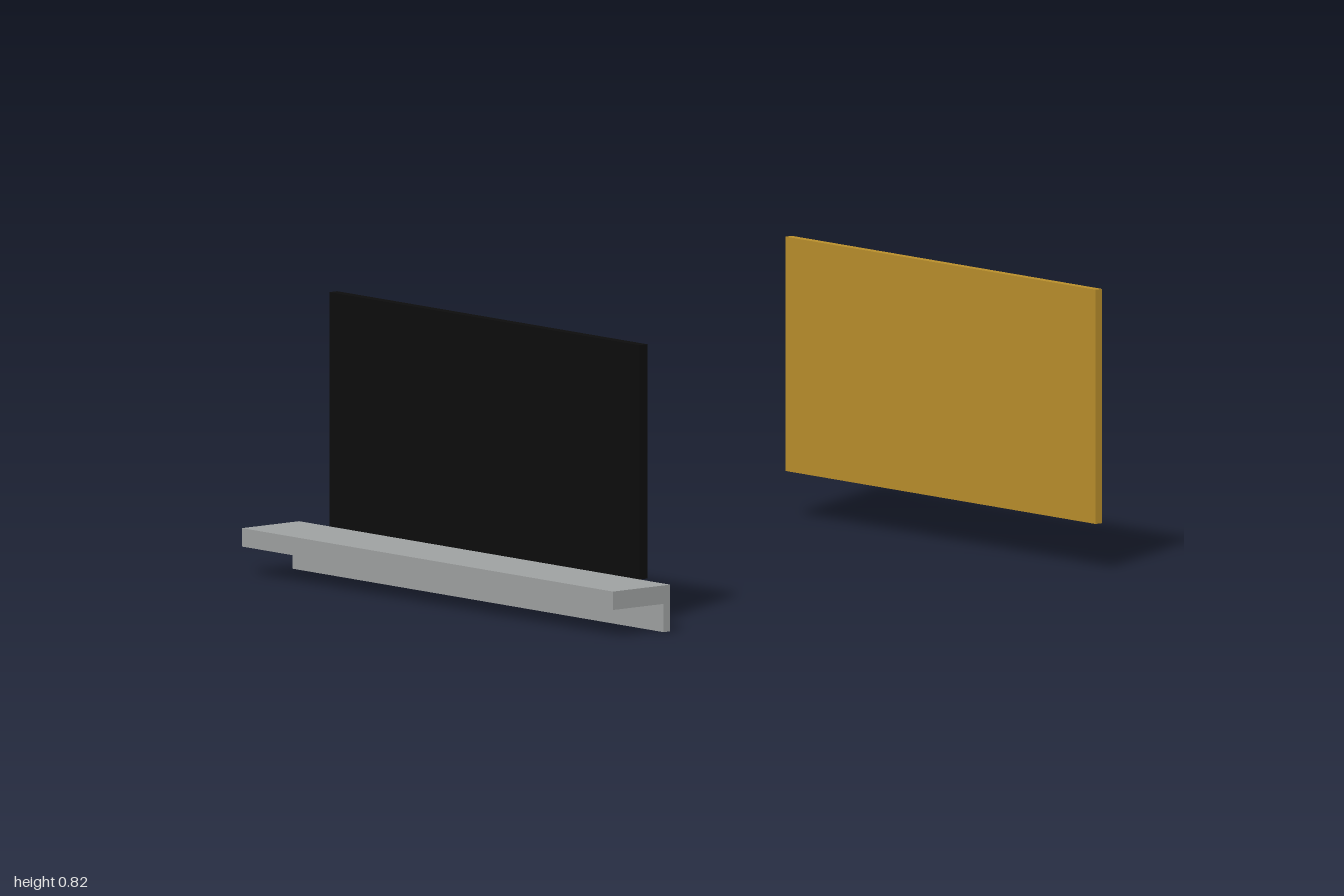
import * as THREE from 'three';

const material = (name, color) => {
  const m = new THREE.MeshStandardMaterial({ color });
  m.name = name;
  return m;
};

export function createModel() {
  const model = new THREE.Group();
  model.name = 'displayAssembly';
  const black = material('black', 0x0d0d0d);
  const gold = material('gold', 0xbb902c);
  const grey = material('grey', 0xa0a3a3);

  // Box given by its extents along x, y and z
  const box = (name, mat, [x0, x1], [y0, y1], [z0, z1]) => {
    const mesh = new THREE.Mesh(new THREE.BoxGeometry(x1 - x0, y1 - y0, z1 - z0), mat);
    mesh.position.set((x0 + x1) / 2, (y0 + y1) / 2, (z0 + z1) / 2);
    mesh.name = name;
    model.add(mesh);
  };

  // L-shaped ledge: thick shelf with a thin flange hanging at its rear edge
  const profile = new THREE.Shape([
    [-1, 0.137], [-1, 0.083], [-0.808, 0.083], [-0.808, 0], [-0.783, 0], [-0.783, 0.137],
  ].map(([u, v]) => new THREE.Vector2(u, v)));
  const ledge = new THREE.Mesh(
    new THREE.ExtrudeGeometry(profile, { depth: 1.67, bevelEnabled: false }), grey);
  ledge.rotation.y = Math.PI / 2;
  ledge.position.x = -0.835;
  ledge.name = 'ledge';
  model.add(ledge);

  // Upright panel behind the ledge, with a small tab under one end
  box('frontPanel', black, [-0.698, 0.698], [0.137, 0.824], [0.754, 0.783]);
  box('panelTab', black, [-0.655, -0.615], [0.11, 0.137], [0.756, 0.783]);

  // Separate rear panel carrying a control box
  box('rearPanel', gold, [-0.698, 0.698], [0.137, 0.824], [-0.972, -0.947]);
  box('controlBox', black, [-0.178, 0.258], [0.498, 0.742], [-1, -0.972]);

  return model;
}
